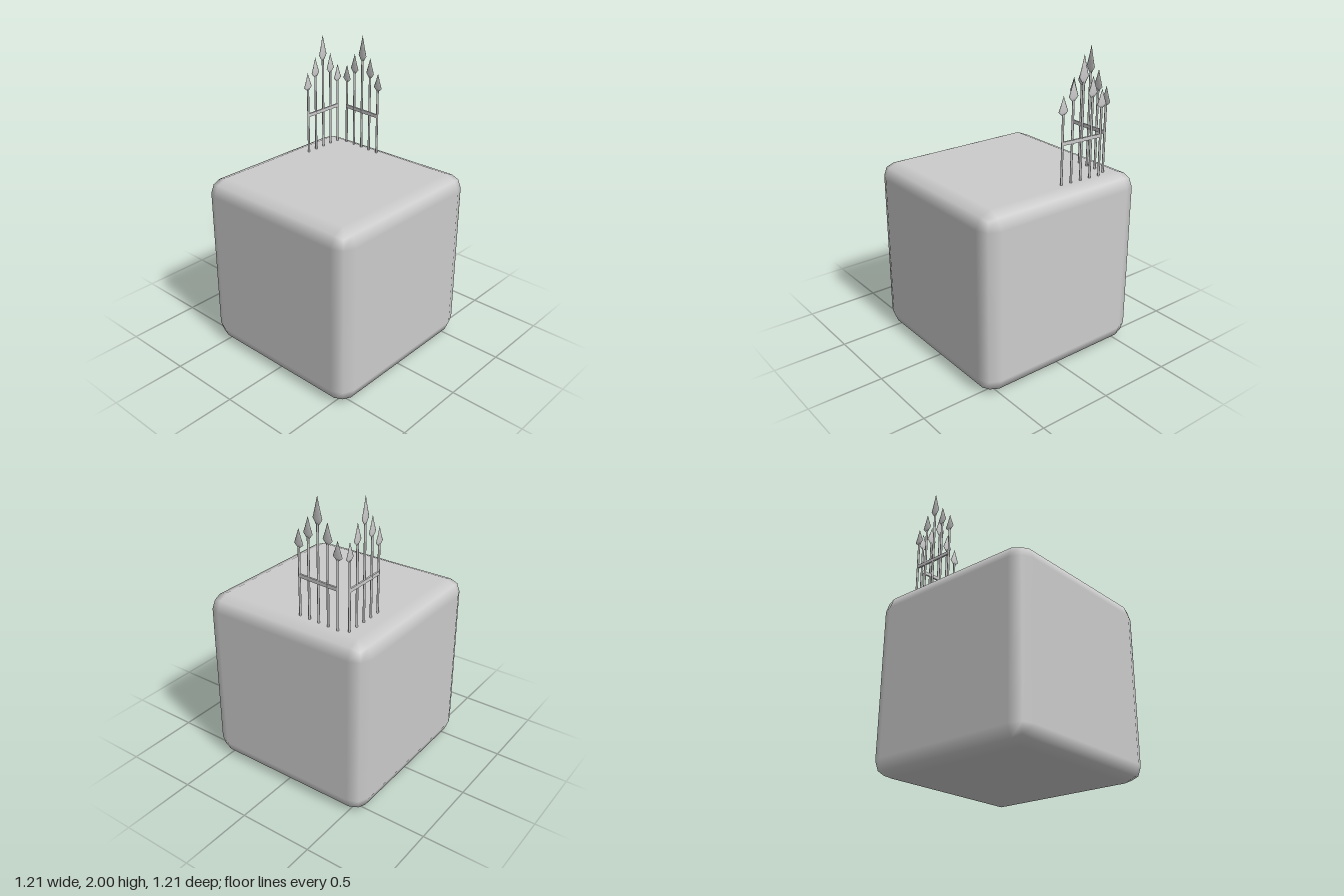
import * as THREE from 'three';
import { RoundedBoxGeometry } from 'three/addons/geometries/RoundedBoxGeometry.js';

const material = new THREE.MeshStandardMaterial({ color: 0xcccccc });
const BLOCK = 1.21;       // edge length of the block
const TOP = 1.213;        // height at which the railings stand
const SPACING = 0.073;
const ROD = 0.0075;

// Bottom, widest point and tip of the spearheads, from the middle rod outward
const HEADS = [
  [1.825, 1.865, 2.0],
  [1.727, 1.757, 1.862],
  [1.652, 1.675, 1.772],
];

function addMesh(parent, name, geometry) {
  const mesh = new THREE.Mesh(geometry, material);
  mesh.name = name;
  parent.add(mesh);
  return mesh;
}

// Flat railing of five rods along x, joined by one crossbar
function createRailing(name) {
  const railing = new THREE.Group();
  railing.name = name;
  for (let i = -2; i <= 2; i++) {
    const [bottom, wide, tip] = HEADS[Math.abs(i)];
    const foot = TOP - 0.02;
    const height = bottom + 0.01 - foot;

    const rod = addMesh(railing, 'rod', new THREE.CylinderGeometry(ROD, ROD, height, 8));
    rod.position.set(i * SPACING, foot + height / 2, 0);

    // Spearhead: a turned profile flattened to the thickness of the rod
    const profile = [[0, bottom], [0.009, bottom], [0.036, wide], [0.017, wide + (tip - wide) * 0.5], [0, tip]];
    const head = addMesh(railing, 'spearhead',
      new THREE.LatheGeometry(profile.map(([r, y]) => new THREE.Vector2(r, y)), 8, Math.PI / 2));
    head.position.x = i * SPACING;
    head.scale.z = 0.2;
  }
  const bar = addMesh(railing, 'crossbar', new THREE.BoxGeometry(SPACING * 4, 0.023, 0.012));
  bar.position.y = 1.477;
  return railing;
}

export function createModel() {
  const model = new THREE.Group();
  model.name = 'railingsOnBlock';

  // Block with a two-step rounded edge
  const block = addMesh(model, 'block', new RoundedBoxGeometry(BLOCK, BLOCK, BLOCK, 1, 0.105));
  block.position.y = BLOCK / 2 + 0.003;

  // Two railings meeting at the back left corner, the side one slightly turned
  const backRailing = createRailing('backRailing');
  backRailing.position.set(0.318, 0, -0.416);

  const sideRailing = createRailing('sideRailing');
  sideRailing.position.set(0.481, 0, -0.207);
  sideRailing.rotation.y = 1.5;

  model.add(backRailing, sideRailing);
  return model;
}
